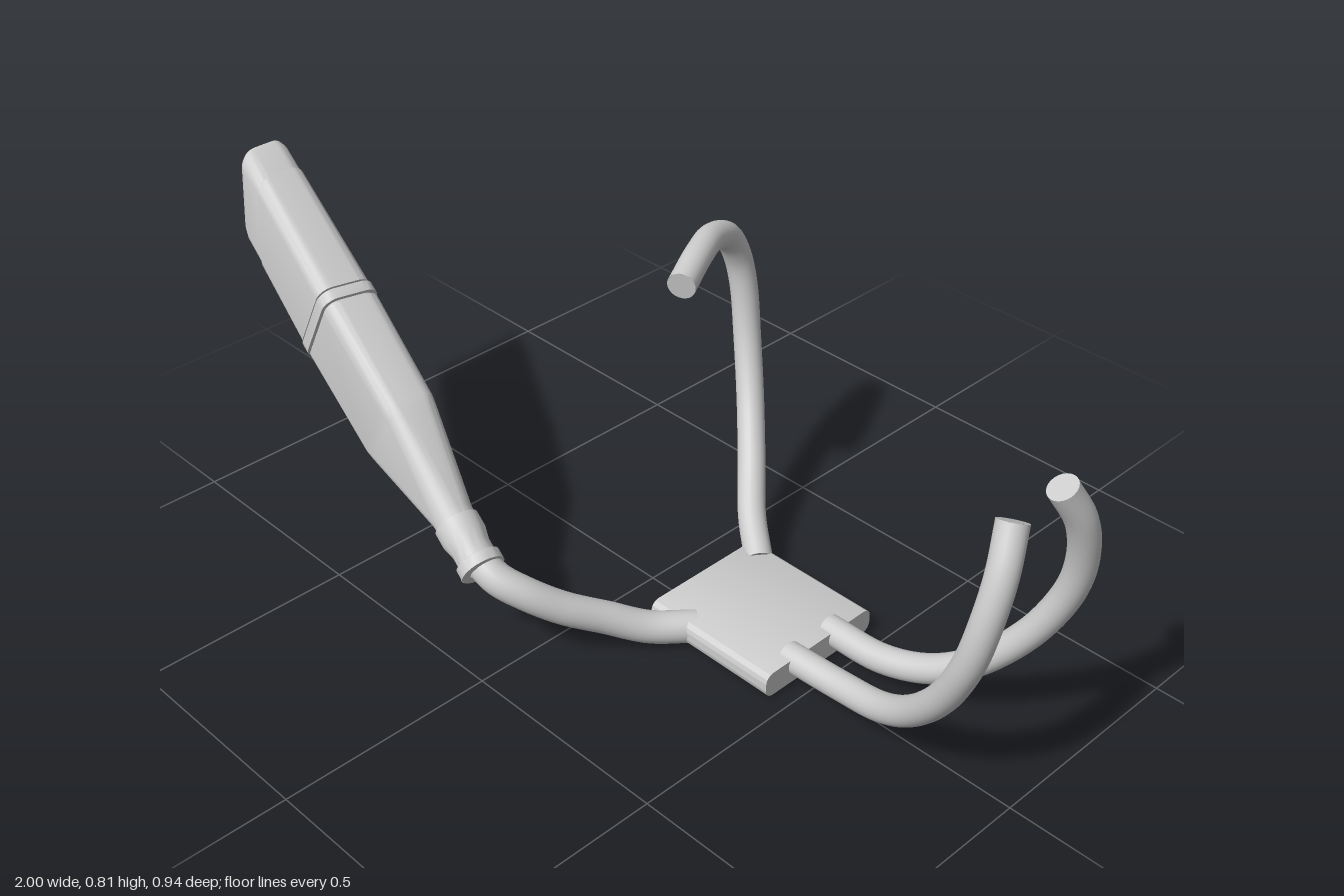
import * as THREE from 'three';
import { toCreasedNormals } from 'three/addons/utils/BufferGeometryUtils.js';

const V = (x, y, z) => new THREE.Vector3(x, y, z);

// Silencer frame: origin at its inlet, axis D, height direction U, width direction W
const ORIGIN = V(-0.163, 0.259, 0.405);
const D = V(-1, 0.54, -0.17).normalize();
const U = V(0.475, 0.88, 0).normalize();
const W = D.clone().cross(U).normalize();
U.crossVectors(W, D).normalize();

// Rounded rectangle section, counter-clockwise around D, as [v, h] pairs
function section(hh, hw, r) {
  const pts = [];
  const signs = [[1, 1], [-1, 1], [-1, -1], [1, -1]];
  signs.forEach(([sv, sh], q) => {
    for (let i = 0; i <= 8; i++) {
      const a = (q + i / 8) * Math.PI / 2;
      pts.push([sv * (hh - r) + r * Math.cos(a), sh * (hw - r) + r * Math.sin(a)]);
    }
  });
  return pts;
}

// Skin through rings { s | planeX, hh, hw, r }; planeX slides a ring onto an upright plane
function loft(rings) {
  const pos = [], index = [], n = 36;
  for (const { s = 0, planeX, hh, hw, r } of rings) {
    for (const [v, h] of section(hh, hw, r)) {
      const p = ORIGIN.clone().addScaledVector(U, v).addScaledVector(W, h);
      p.addScaledVector(D, planeX === undefined ? s : (planeX - p.x) / D.x);
      pos.push(p.x, p.y, p.z);
    }
  }
  for (let i = 0; i < rings.length - 1; i++) {
    for (let j = 0; j < n; j++) {
      const a = i * n + j, b = i * n + (j + 1) % n;
      index.push(a, b, b + n, a, b + n, a + n);
    }
  }
  const g = new THREE.BufferGeometry();
  g.setAttribute('position', new THREE.Float32BufferAttribute(pos, 3));
  g.setIndex(index);
  return toCreasedNormals(g, 0.5);
}

const round = (s, r) => ({ s, hh: r, hw: r, r });
const oval = (s, hh, hw, r) => ({ s, hh, hw, r });
const cut = (planeX, hh, hw, r) => ({ planeX, hh, hw, r });

export function createModel() {
  const model = new THREE.Group();
  const steel = new THREE.MeshStandardMaterial({ color: 0xcccccc });
  steel.name = 'brushed steel';

  function add(name, geometry, parent = model) {
    const mesh = new THREE.Mesh(geometry, steel);
    mesh.name = name;
    parent.add(mesh);
    return mesh;
  }

  // Bent pipe with closed ends
  function pipe(name, points, radius) {
    const group = new THREE.Group();
    group.name = name;
    const curve = new THREE.CatmullRomCurve3(points.map(p => V(...p)));
    add(name + 'Wall', new THREE.TubeGeometry(curve, 72, radius, 24), group);
    for (const t of [0, 1]) {
      const cap = add(name + 'End', new THREE.CircleGeometry(radius, 24), group);
      const dir = curve.getTangent(t).multiplyScalar(t ? 1 : -1);
      cap.position.copy(curve.getPoint(t));
      cap.quaternion.setFromUnitVectors(V(0, 0, 1), dir);
    }
    model.add(group);
  }

  // Collector box: rounded long edges, square ends
  const w = 0.163, h = 0.03, r = 0.022;
  const outline = new THREE.Shape();
  outline.absarc(w - r, h - r, r, 0, Math.PI / 2);
  outline.absarc(-w + r, h - r, r, Math.PI / 2, Math.PI);
  outline.absarc(-w + r, -h + r, r, Math.PI, Math.PI * 1.5);
  outline.absarc(w - r, -h + r, r, Math.PI * 1.5, Math.PI * 2);
  const boxGeo = new THREE.ExtrudeGeometry(outline, { depth: 0.34, bevelEnabled: false, curveSegments: 8 });
  boxGeo.rotateY(Math.PI / 2);
  add('collectorBox', toCreasedNormals(boxGeo, 0.5)).position.set(0.12, 0.04, -0.043);

  // Pair of mirrored header pipes
  const header = [
    [0.43, 0.053, 0.02], [0.58, 0.06, 0.02], [0.69, 0.09, 0.038], [0.78, 0.15, 0.062],
    [0.88, 0.27, 0.096], [0.942, 0.4, 0.112], [0.963, 0.5, 0.104], [0.965, 0.6, 0.075],
    [0.944, 0.685, 0.03],
  ];
  pipe('leftHeaderFront', header, 0.032);
  pipe('leftHeaderBack', header.map(([x, y, z]) => [x, y, -0.086 - z]), 0.032);

  // Rear header looping back over
  pipe('rearHeader', [
    [0.16, 0.05, -0.175], [0.08, 0.1, -0.235], [0, 0.175, -0.315], [-0.075, 0.28, -0.385],
    [-0.128, 0.4, -0.426], [-0.155, 0.52, -0.438], [-0.165, 0.6, -0.425], [-0.16, 0.665, -0.385],
    [-0.135, 0.7, -0.31], [-0.095, 0.706, -0.23], [-0.043, 0.69, -0.125],
  ], 0.032);

  // Link pipe from collector to silencer
  pipe('linkPipe', [
    [0.215, 0.038, 0.08], [0.155, 0.046, 0.16], [0.1, 0.082, 0.235], [0.05, 0.125, 0.315],
    [0, 0.17, 0.376], [-0.05, 0.2, 0.408], [-0.12, 0.236, 0.412],
  ], 0.036);

  // Clamp sleeve at the joint
  add('clampSleeve', loft([
    round(-0.1, 0.03), round(-0.1, 0.05), round(-0.075, 0.05), round(-0.072, 0.043),
    round(-0.045, 0.043), round(-0.015, 0.05), round(0.02, 0.05), round(0.022, 0.04),
  ]));
  const bolt = add('clampBolt', new THREE.CylinderGeometry(0.008, 0.008, 0.06, 12));
  bolt.position.copy(ORIGIN).addScaledVector(D, -0.087).addScaledVector(U, -0.045);
  bolt.quaternion.setFromUnitVectors(V(0, 1, 0), W);

  // Silencer front half: cone swelling into a tall oval body
  add('silencerCone', loft([
    round(0, 0.044), round(0.04, 0.046), oval(0.26, 0.1, 0.06, 0.036),
    oval(0.285, 0.103, 0.062, 0.034), oval(0.555, 0.106, 0.066, 0.034),
    oval(0.56, 0.098, 0.058, 0.03),
  ]));

  // Joint band
  add('silencerBand', loft([
    oval(0.562, 0.095, 0.055, 0.03), oval(0.562, 0.109, 0.068, 0.035),
    oval(0.588, 0.109, 0.068, 0.035), oval(0.588, 0.095, 0.055, 0.03),
  ]));
  add('silencerNeck', loft([oval(0.55, 0.1, 0.06, 0.03), oval(0.6, 0.1, 0.06, 0.03)]));

  // Silencer rear half, sliced upright at the tail
  add('silencerBody', loft([
    oval(0.592, 0.095, 0.055, 0.03), oval(0.594, 0.106, 0.065, 0.034), cut(-0.912, 0.102, 0.063, 0.034),
  ]));

  // End cap with recessed face
  add('endCap', loft([
    cut(-0.912, 0.102, 0.063, 0.034), cut(-0.915, 0.1, 0.061, 0.034), cut(-0.978, 0.099, 0.061, 0.034),
    cut(-0.993, 0.095, 0.058, 0.034), cut(-0.999, 0.088, 0.053, 0.034), cut(-0.999, 0.083, 0.048, 0.032),
    cut(-0.955, 0.083, 0.048, 0.032), cut(-0.955, 0, 0, 0),
  ]));

  // Twin outlets, one above the other
  const profile = [[0.044, 0], [0.044, 0.036], [0.041, 0.04], [0.037, 0.036], [0.037, 0]]
    .map(([x, y]) => new THREE.Vector2(x, y));
  for (const side of [1, -1]) {
    const geo = toCreasedNormals(new THREE.LatheGeometry(profile, 32), 0.6);
    geo.rotateZ(Math.PI / 2);
    const outlet = add(side > 0 ? 'upperOutlet' : 'lowerOutlet', geo);
    outlet.position.set(-0.954, 0.703 + side * 0.047, 0.268 - side * 0.004);
  }

  return model;
}
